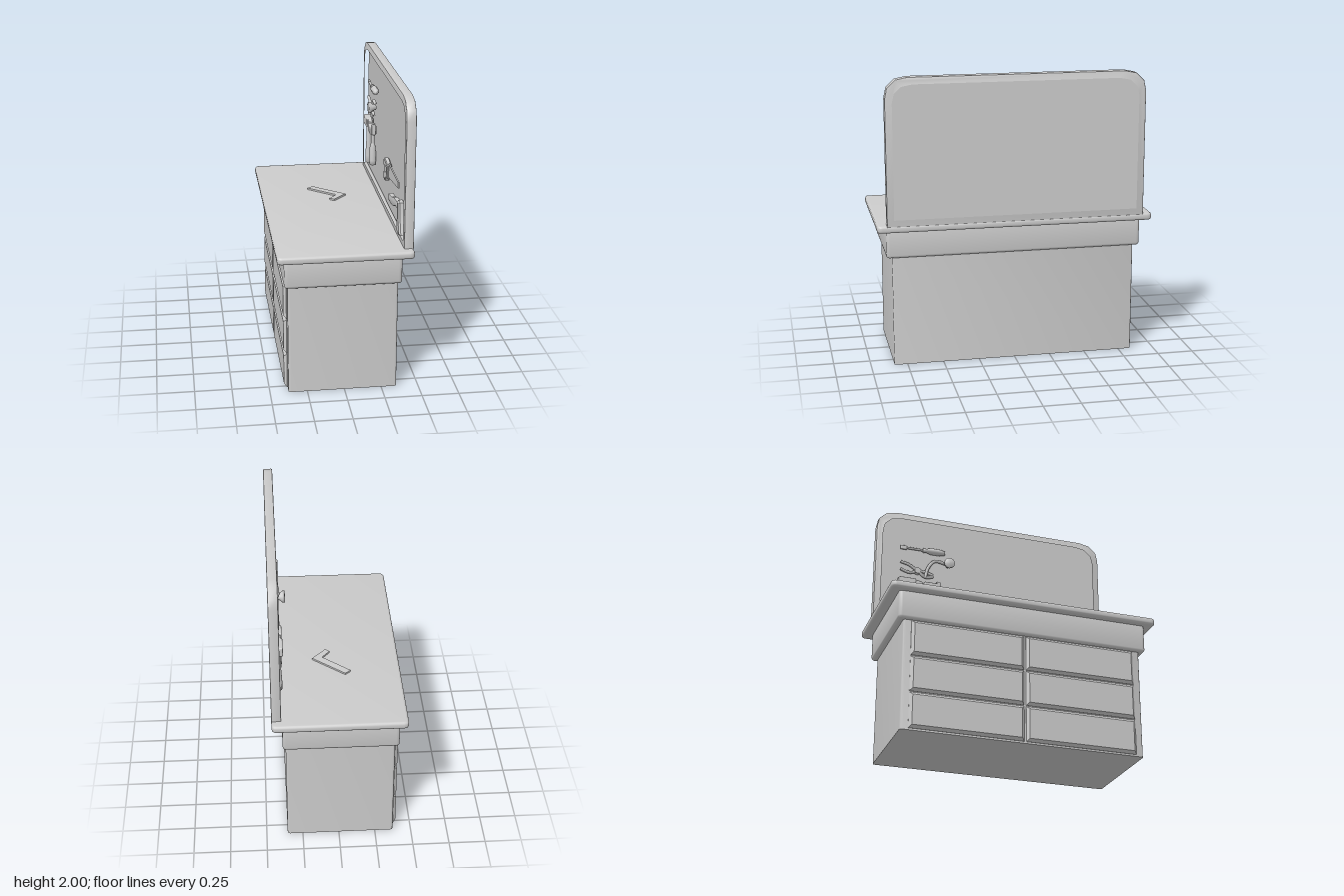
import * as THREE from 'three';
import { toCreasedNormals } from 'three/addons/utils/BufferGeometryUtils.js';
import { RoundedBoxGeometry } from 'three/addons/geometries/RoundedBoxGeometry.js';

const material = new THREE.MeshStandardMaterial({ color: 0xcccccc });

function add(parent, name, geometry) {
  const mesh = new THREE.Mesh(geometry, material);
  mesh.name = name;
  parent.add(mesh);
  return mesh;
}

function group(parent, name) {
  const g = new THREE.Group();
  g.name = name;
  parent.add(g);
  return g;
}

// Extrusion of total depth t whose bevel stays inside the outline
function extrude(shape, t, bevel, segments) {
  const geo = new THREE.ExtrudeGeometry(shape, {
    depth: t - 2 * bevel, curveSegments: 4, bevelEnabled: bevel > 0,
    bevelThickness: bevel, bevelSize: bevel, bevelOffset: -bevel, bevelSegments: segments,
  });
  geo.translate(0, 0, bevel);
  return toCreasedNormals(geo, 0.7);
}

// Outline in [z, y], standing against the board between x0 and x1
function upright(shape, x0, x1, bevel = 0, segments = 1) {
  return extrude(shape, x1 - x0, bevel, segments).rotateY(Math.PI / 2).translate(x0, 0, 0);
}
const outline = (pts) => new THREE.Shape(pts.map(([z, y]) => new THREE.Vector2(-z, y)));
const smooth = (pts) => new THREE.Shape(
  new THREE.SplineCurve([...pts, pts[0]].map(([z, y]) => new THREE.Vector2(-z, y))).getPoints(28).slice(0, -1));

// Rounded rectangle lying flat between heights y0 and y1
function slab(x0, x1, halfZ, y0, y1, r, bevel) {
  const s = new THREE.Shape();
  s.moveTo(x0 + r, -halfZ).lineTo(x1 - r, -halfZ).quadraticCurveTo(x1, -halfZ, x1, -halfZ + r);
  s.lineTo(x1, halfZ - r).quadraticCurveTo(x1, halfZ, x1 - r, halfZ);
  s.lineTo(x0 + r, halfZ).quadraticCurveTo(x0, halfZ, x0, halfZ - r);
  s.lineTo(x0, -halfZ + r).quadraticCurveTo(x0, -halfZ, x0 + r, -halfZ);
  return extrude(s, y1 - y0, bevel, 3).rotateX(-Math.PI / 2).translate(0, y0, 0);
}

// Board outline with coarse rounded upper corners, inset by i
function boardPoints(i) {
  const side = [[0.88, 1.0], [0.88, 1.86], [0.865, 1.93], [0.81, 1.984], [0.73, 2.0]]
    .map(([z, y]) => [z * (0.88 - i) / 0.88, 1 + i + (y - 1) * (1 - 2 * i)]);
  return [...side, ...side.map(([z, y]) => [-z, y]).reverse()];
}

// Round bar along a [z, y] path
function bar(pts, x, r) {
  const path = new THREE.CatmullRomCurve3(pts.map(([z, y]) => new THREE.Vector3(x, y, z)));
  return new THREE.TubeGeometry(path, 14, r, 8);
}

function block(sx, sy, sz, x, y, z) {
  return new RoundedBoxGeometry(sx, sy, sz, 2, 0.008).translate(x, y, z);
}

// Turned part from [radius, height] pairs
function turned(profile, x, y, z) {
  return new THREE.LatheGeometry(profile.map((p) => new THREE.Vector2(...p)), 12).translate(x, y, z);
}

function addCabinet(root) {
  const g = group(root, 'cabinet');
  add(g, 'cabinetBody', slab(-0.375, 0.355, 0.84, 0, 0.78, 0.018, 0));
  add(g, 'apron', slab(-0.4, 0.375, 0.88, 0.765, 0.975, 0.025, 0.02));
  add(g, 'worktop', slab(-0.45, 0.445, 0.945, 0.96, 1.01, 0.035, 0.016));
  // Two columns of three bevelled drawers
  for (const z of [-0.397, 0.397]) {
    for (const y of [0.133, 0.385, 0.637]) {
      const h = 0.122, w = 0.39;
      const front = outline([[z - w, y - h], [z + w, y - h], [z + w, y + h], [z - w, y + h]]);
      add(g, 'drawerFront', upright(front, -0.4, -0.36, 0.019));
    }
  }
}

function addBoard(root) {
  const g = group(root, 'toolBoard');
  const frame = outline(boardPoints(0));
  frame.holes.push(new THREE.Path(boardPoints(0.04).map(([z, y]) => new THREE.Vector2(-z, y))));
  add(g, 'boardFrame', upright(frame, 0.38, 0.445, 0.008, 2));
  add(g, 'boardPanel', upright(outline(boardPoints(0.02)), 0.415, 0.444));
}

function addTools(root) {
  const g = group(root, 'hangingTools');

  // Screwdriver, lying level
  const driver = group(g, 'screwdriver');
  add(driver, 'screwdriverHandle', turned(
    [[0, 0], [0.016, 0.005], [0.024, 0.04], [0.025, 0.11], [0.014, 0.15], [0.018, 0.17], [0, 0.175]], 0, 0, 0)
    .rotateX(-Math.PI / 2).translate(0.39, 1.72, -0.35));
  add(driver, 'screwdriverShaft', bar([[-0.52, 1.72], [-0.66, 1.72]], 0.39, 0.009));
  add(driver, 'screwdriverTip', block(0.016, 0.034, 0.05, 0.39, 1.72, -0.67));

  // Hook with a round knob
  const hook = group(g, 'knobbedHook');
  add(hook, 'hookRod', bar([[-0.5, 1.5], [-0.48, 1.58], [-0.43, 1.64], [-0.34, 1.63]], 0.385, 0.012));
  add(hook, 'hookKnob', turned([[0, 0], [0.02, 0], [0.024, 0.025], [0.04, 0.04], [0.04, 0.055], [0, 0.058]], 0, 0, 0)
    .rotateZ(Math.PI / 2).translate(0.385, 1.62, -0.33));

  // Pliers with curved grips
  const pliers = group(g, 'pliers');
  add(pliers, 'pliersPivot', new THREE.CylinderGeometry(0.024, 0.024, 0.03, 12)
    .rotateZ(Math.PI / 2).translate(0.39, 1.54, -0.56));
  for (const s of [-1, 1]) {
    add(pliers, 'pliersGrip', bar([[-0.56, 1.54], [-0.62, 1.55 + s * 0.03], [-0.69, 1.57 + s * 0.03]], 0.39, 0.011));
    add(pliers, 'pliersJaw', bar([[-0.56, 1.54], [-0.5, 1.52 + s * 0.02], [-0.44, 1.515 + s * 0.005]], 0.39, 0.011));
  }

  // Two hammers hanging upright
  const hammer = group(g, 'hammer');
  add(hammer, 'hammerHead', block(0.055, 0.065, 0.13, 0.383, 1.43, -0.64));
  add(hammer, 'hammerClaw', upright(outline([[-0.58, 1.46], [-0.53, 1.45], [-0.5, 1.41], [-0.58, 1.41]]), 0.365, 0.4, 0.005));
  add(hammer, 'hammerHandle', turned(
    [[0, 0], [0.022, 0.005], [0.024, 0.06], [0.018, 0.17], [0.015, 0.31]], 0.387, 1.1, -0.65));
  const mallet = group(g, 'secondHammer');
  add(mallet, 'secondHammerHead', block(0.05, 0.06, 0.1, 0.383, 1.42, -0.46));
  add(mallet, 'secondHammerNose', block(0.03, 0.08, 0.03, 0.383, 1.43, -0.4));
  add(mallet, 'secondHammerNeck', bar([[-0.46, 1.3], [-0.46, 1.42]], 0.387, 0.013));
  add(mallet, 'secondHammerGrip', turned(
    [[0, 0], [0.022, 0.005], [0.026, 0.04], [0.022, 0.14], [0.014, 0.17]], 0.387, 1.14, -0.46));

  // Hand saw with a looped handle
  const saw = group(g, 'handSaw');
  const grip = outline([[0.07, 1.23], [0.13, 1.22], [0.15, 1.25], [0.21, 1.26], [0.23, 1.36], [0.1, 1.38], [0.07, 1.36], [0.1, 1.3]]);
  grip.holes.push(new THREE.Path([[0.13, 1.28], [0.18, 1.29], [0.19, 1.34], [0.12, 1.34]].map(([z, y]) => new THREE.Vector2(-z, y))));
  add(saw, 'sawHandle', upright(grip, 0.375, 0.41, 0.006));
  add(saw, 'sawBlade', upright(outline([[0.19, 1.27], [0.58, 1.32], [0.58, 1.36], [0.2, 1.37]]), 0.388, 0.398));

  // Hatchet with a curved handle
  const hatchet = group(g, 'hatchet');
  add(hatchet, 'hatchetHandle', upright(smooth([[0.34, 1.15], [0.33, 1.2], [0.42, 1.21], [0.53, 1.24],
    [0.66, 1.25], [0.74, 1.24], [0.73, 1.2], [0.6, 1.2], [0.47, 1.16]]), 0.368, 0.405, 0.01, 2));
  add(hatchet, 'hatchetHead', upright(outline([[0.69, 1.28], [0.75, 1.28], [0.76, 1.17], [0.8, 1.07],
    [0.74, 1.05], [0.68, 1.08], [0.7, 1.18]]), 0.36, 0.41, 0.012));
}

export function createModel() {
  const root = new THREE.Group();
  root.name = 'workbench';
  addCabinet(root);
  addBoard(root);
  addTools(root);

  // Try square lying on the worktop
  const square = new THREE.Shape([[-0.108, -0.347], [-0.07, -0.382], [0.148, -0.19], [0.053, -0.085],
    [0.023, -0.11], [0.078, -0.18]].map(([x, z]) => new THREE.Vector2(x, -z)));
  add(root, 'trySquare', extrude(square, 0.015, 0, 1).rotateX(-Math.PI / 2).translate(0, 1.007, 0));
  return root;
}
